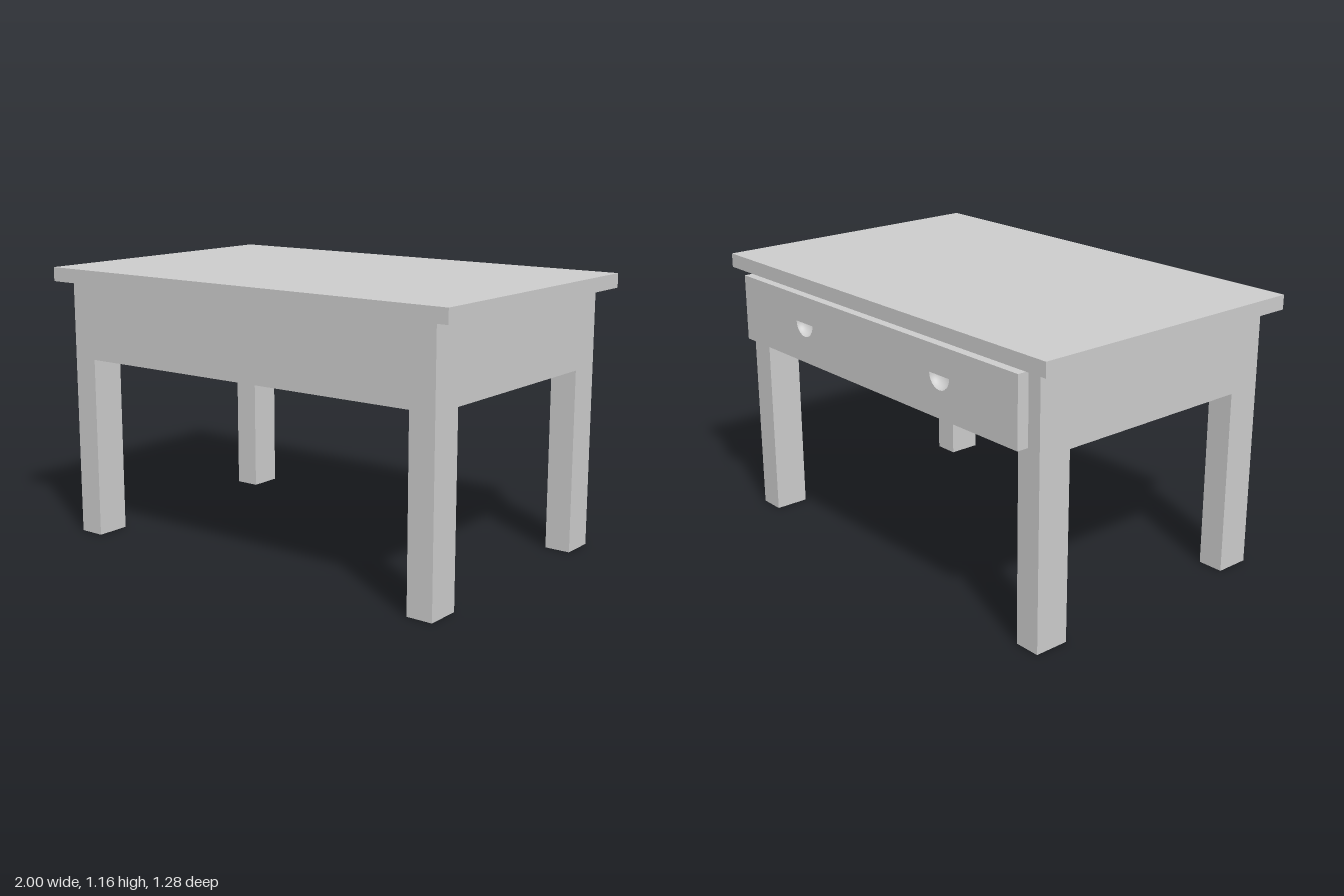
import * as THREE from 'three';

export function createModel() {
  const group = new THREE.Group();
  const material = new THREE.MeshStandardMaterial({ color: 0xcccccc });
  const thin = new THREE.MeshStandardMaterial({ color: 0xcccccc, side: THREE.DoubleSide });

  function add(name, geometry, mat = material) {
    const mesh = new THREE.Mesh(geometry, mat);
    mesh.name = name;
    group.add(mesh);
    return mesh;
  }

  // Box given by its lower and upper limits on each axis
  function box(name, [x0, x1], [y0, y1], [z0, z1]) {
    add(name, new THREE.BoxGeometry(x1 - x0, y1 - y0, z1 - z0))
      .position.set((x0 + x1) / 2, (y0 + y1) / 2, (z0 + z1) / 2);
  }

  box('tableTop', [-1, 1], [1.105, 1.165], [-0.632, 0.64]);
  box('body', [-0.925, 0.925], [0.778, 1.105], [-0.585, 0.598]);

  // Four legs, flush with the outside of the body
  for (const x of [[-0.925, -0.813], [0.813, 0.925]]) {
    box('frontLeg', x, [0, 0.778], [0.45, 0.598]);
    box('backLeg', x, [0, 0.778], [-0.585, -0.438]);
  }

  // Drawer front on the back side, with half-round finger pulls cut into it
  const back = -0.64, depth = 0.05, r = 0.058, pullY = 0.975;
  const pulls = [-0.44, 0.44];
  const panel = new THREE.Shape([
    new THREE.Vector2(-0.87, 0.805), new THREE.Vector2(0.89, 0.805),
    new THREE.Vector2(0.89, 1.09), new THREE.Vector2(-0.87, 1.09),
  ]);
  for (const x of pulls) {
    const hole = new THREE.Path();
    hole.absarc(x, pullY, r, Math.PI, Math.PI * 2, false);
    hole.closePath();
    panel.holes.push(hole);
  }
  add('drawerFront', new THREE.ExtrudeGeometry(panel, { depth, bevelEnabled: false, curveSegments: 24 }))
    .position.z = back;
  box('drawerSpacer', [-0.8, 0.8], [0.82, 1.075], [back + depth, -0.585]);

  // Scooped bowl inside each pull
  for (const x of pulls) {
    const scoop = add('drawerPull',
      new THREE.SphereGeometry(r, 24, 12, 0, Math.PI, Math.PI / 2, Math.PI / 2), thin);
    scoop.scale.z = 0.048 / r;
    scoop.position.set(x, pullY, back);
  }

  return group;
}
